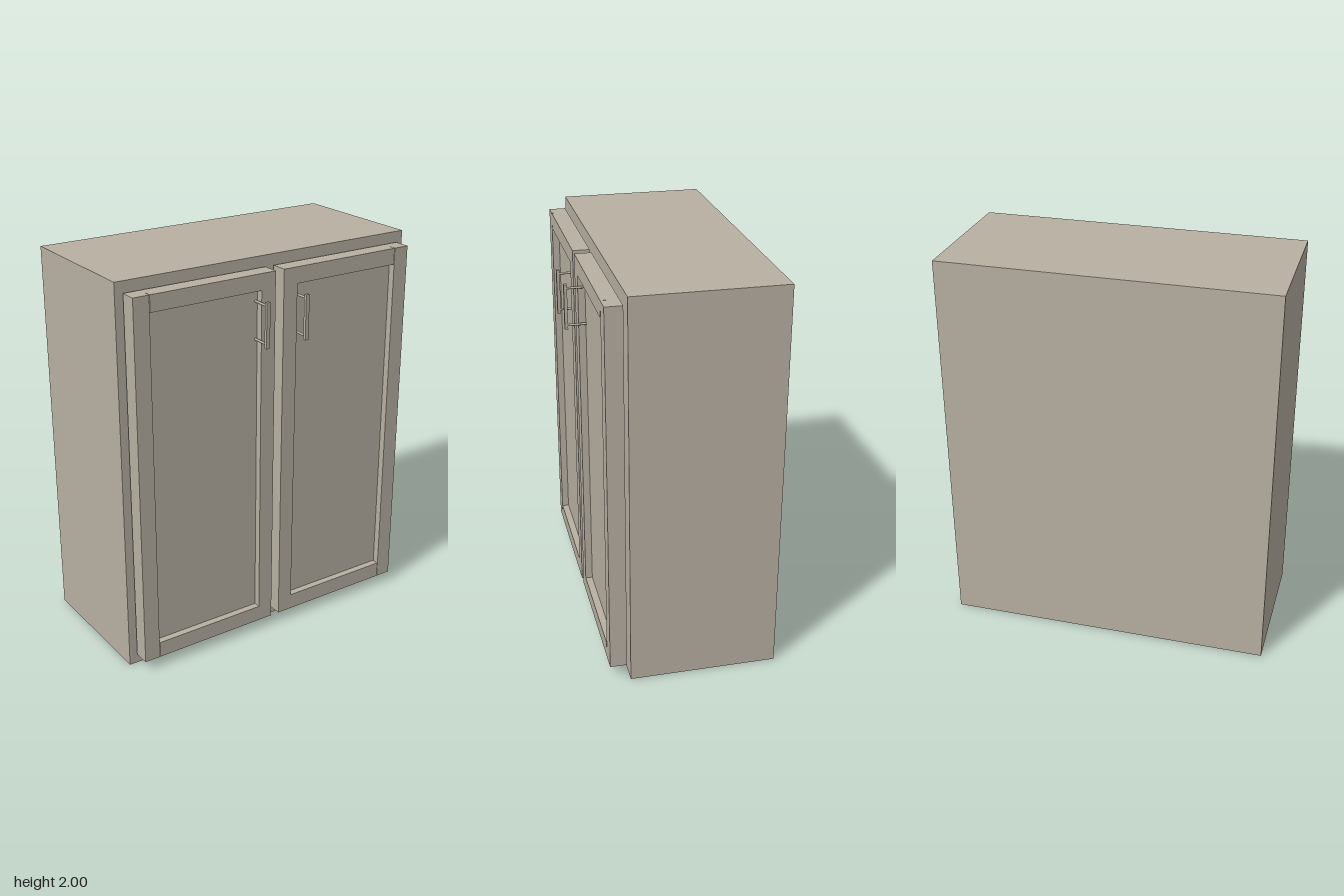
import * as THREE from 'three';

export function createModel() {
  const model = new THREE.Group();
  model.name = 'cabinet';
  const paint = new THREE.MeshStandardMaterial({ color: 0xb8b0a2 });
  paint.name = 'warm grey paint';

  // Box given by its limits on each axis
  function box(parent, name, [x0, x1], [y0, y1], [z0, z1]) {
    const mesh = new THREE.Mesh(new THREE.BoxGeometry(Math.abs(x1 - x0), y1 - y0, z1 - z0), paint);
    mesh.position.set((x0 + x1) / 2, (y0 + y1) / 2, (z0 + z1) / 2);
    mesh.name = name;
    parent.add(mesh);
  }

  box(model, 'carcass', [-0.833, 0.833], [0, 2], [-0.453, 0.288]);

  const bottom = 0.056, top = 1.946, frame = 0.083, seam = 0.003;
  const back = 0.298, panelFront = 0.347, front = 0.383;

  for (const side of [-1, 1]) {
    const door = new THREE.Group();
    door.name = side < 0 ? 'rightDoor' : 'leftDoor';
    door.position.x = -0.003;
    model.add(door);
    const inner = side * 0.024, outer = side * 0.792;
    const innerEdge = inner + side * 0.08, outerEdge = outer - side * frame;
    const height = [bottom, top], depth = [panelFront, front];

    // Back board with a raised frame
    box(door, 'panel', [inner, outer], height, [back, panelFront]);
    box(door, 'innerStile', [inner, innerEdge], height, depth);
    box(door, 'outerStile', [outerEdge, outer], height, depth);
    const railSpan = [innerEdge, outerEdge - side * seam];
    box(door, 'bottomRail', railSpan, [bottom, bottom + frame], depth);
    box(door, 'topRail', railSpan, [top - frame, top], depth);

    // Bar handle on two round posts
    const handle = new THREE.Group();
    handle.name = 'handle';
    door.add(handle);
    const hx = side * 0.114;
    box(handle, 'handleBar', [hx - 0.01, hx + 0.01], [1.597, 1.825], [0.438, 0.454]);
    for (const y of [1.616, 1.805]) {
      const post = new THREE.Mesh(new THREE.CylinderGeometry(0.006, 0.006, 0.44 - panelFront, 12), paint);
      post.rotation.x = Math.PI / 2;
      post.position.set(hx, y, (0.44 + panelFront) / 2);
      post.name = 'handlePost';
      handle.add(post);
    }
  }
  return model;
}
